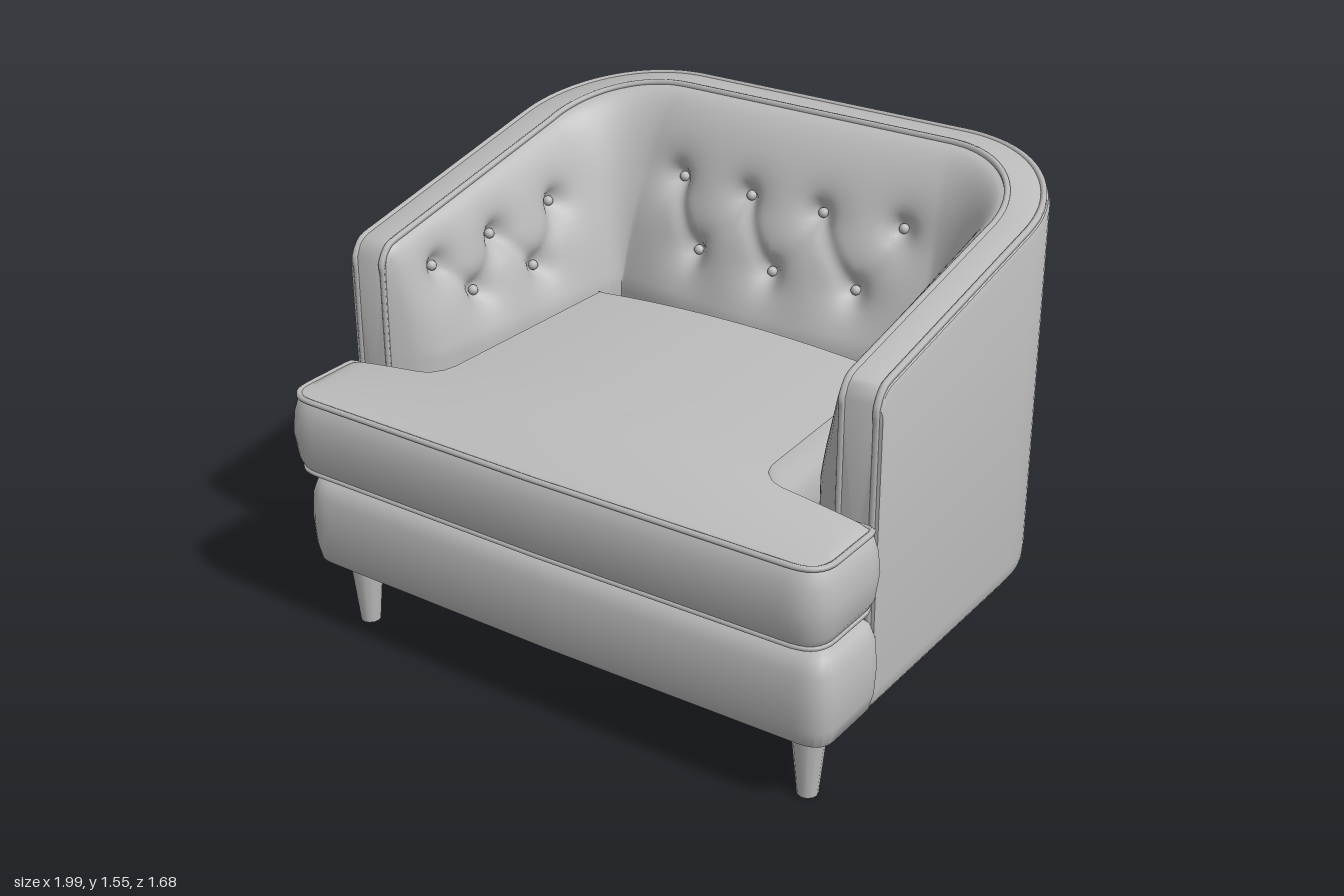
import * as THREE from 'three';
import { toCreasedNormals } from 'three/addons/utils/BufferGeometryUtils.js';

const V = (x, y, z) => new THREE.Vector3(x, y, z);
const { lerp, clamp } = THREE.MathUtils;
const STATIONS = 240;
const ARM = 0.45, CORNER = 0.62;   // where the arm and the corner end along half of the U

// Surface through rows of points
function grid(rows, crease = 0.7) {
  const n = rows[0].length, pos = [], idx = [];
  rows.forEach(r => r.forEach(p => pos.push(p.x, p.y, p.z)));
  for (let i = 0; i < rows.length - 1; i++) {
    for (let j = 0; j < n - 1; j++) {
      const a = i * n + j, b = a + 1, d = a + n, c = d + 1;
      idx.push(a, b, c, a, c, d);
    }
  }
  const g = new THREE.BufferGeometry();
  g.setAttribute('position', new THREE.Float32BufferAttribute(pos, 3));
  g.setIndex(idx);
  return toCreasedNormals(g, crease);
}

// U-shaped plan of the shell, u from 0 (left arm front) to 2 (right arm front), d inward
function plan(u, d) {
  const s = u <= 1 ? 1 : -1, v = u <= 1 ? u : 2 - u;
  const R = 0.46 - d, cx = 0.505, cz = -0.38;
  if (v < ARM) return V(s * (cx + R), 0, lerp(0.49, cz, v / ARM));
  if (v < CORNER) {
    const a = (v - ARM) / (CORNER - ARM) * Math.PI / 2;
    return V(s * (cx + R * Math.cos(a)), 0, cz - R * Math.sin(a));
  }
  return V(s * cx * (1 - (v - CORNER) / (1 - CORNER)), 0, cz - R);
}

// Sloping top edge, rounded at the arm fronts
function topY(u) {
  const z = plan(u, 0).z, f = clamp(z - 0.43, 0, 0.06);
  return 1.545 - 0.206 * (z + 0.84) - (0.06 - Math.sqrt(0.0036 - f * f)) * 0.8;
}

// Innermost line of the padding at seat level
function padLine(u) {
  const s = u <= 1 ? 1 : -1, v = u <= 1 ? u : 2 - u;
  if (v < ARM) {
    const k = v / ARM;
    return V(s * lerp(0.71, 0.605, k), 0, lerp(0.45, -0.4, k));
  }
  if (v < CORNER) {
    const k = (v - ARM) / (CORNER - ARM);
    return V(s * lerp(0.605, 0.585, k), 0, lerp(-0.4, -0.43, k));
  }
  const k = (v - CORNER) / (1 - CORNER);
  return V(s * 0.585 * (1 - k), 0, lerp(-0.43, -0.36, Math.sin(k * Math.PI / 2)));
}

// Smooth padding before tufting
function padPoint(u, y) {
  const v = Math.min(u, 2 - u), k = Math.min(1, v / 0.06);
  const end = Math.sqrt(1 - (1 - k) ** 2), top = topY(u) - 0.008;
  const w = Math.pow(clamp((top - y) / (top - 0.9), 0, 1), 0.55) * end;
  const p = plan(u, 0.135).lerp(padLine(u), w);
  p.y = y;
  return p;
}
const inward = u => padLine(u).sub(plan(u, 0.135)).setY(0).normalize();

const uAll = Array.from({ length: STATIONS + 1 }, (_, i) => 2 * i / STATIONS);

function wallGeometry() {
  const rows = uAll.map(u => {
    const t = topY(u);
    return [[0.14, 0.24], [0.14, t - 0.02], [0.125, t], [0.03, t], [0.006, t - 0.012], [0, t - 0.03],
      [0, 0.3], [0.003, 0.26], [0.015, 0.24], [0.14, 0.24]].map(([d, y]) => plan(u, d).setY(y));
  });
  const cap = s => new Array(10).fill(V(s * 0.895, 0.75, 0.495));
  return grid([cap(1), ...rows, cap(-1)]);
}

// Buttons as [u, y]
function buttonSpots() {
  const spots = [];
  const back = (x, y) => {
    const v = CORNER + (1 - CORNER) * (1 - Math.abs(x) / 0.585);
    spots.push([x >= 0 ? v : 2 - v, y]);
  };
  [-0.46, -0.15, 0.15, 0.46].forEach(x => back(x, 1.27));
  [-0.32, 0, 0.32].forEach(x => back(x, 1.06));
  const arm = (z, y) => {
    const v = ARM * (0.45 - z) / 0.85;
    spots.push([v, y], [2 - v, y]);
  };
  [-0.28, 0, 0.26].forEach(z => arm(z, 1.18 - 0.1 * z));
  [-0.14, 0.13].forEach(z => arm(z, 1.03));
  return spots;
}

function padGeometry(spots) {
  const centres = spots.map(([u, y]) => padPoint(u, y));
  const folds = [];
  centres.forEach((a, i) => centres.slice(i + 1).forEach(b => {
    if (a.distanceTo(b) < 0.36 && Math.abs(a.y - b.y) > 0.05) folds.push(new THREE.Line3(a, b));
  }));
  const q = V(0, 0, 0), M = 40;
  const rows = uAll.map(u => {
    const top = topY(u) - 0.008, dir = inward(u), row = [];
    for (let j = 0; j <= M; j++) {
      const p = padPoint(u, lerp(top, 0.58, Math.pow(1 - j / M, 1.4)));
      let dent = 0;
      centres.forEach(c => {
        const r = p.distanceTo(c);
        dent += 0.035 * Math.exp(-((r / 0.045) ** 2)) + 0.03 * Math.exp(-((r / 0.1) ** 2));
      });
      let fold = 0;
      folds.forEach(f => {
        const r = f.closestPointToPoint(p, true, q).distanceTo(p);
        fold = Math.max(fold, 0.014 * Math.exp(-((r / 0.03) ** 2)));
      });
      const room = p.distanceTo(plan(u, 0.135).setY(p.y));
      row.push(p.addScaledVector(dir, -Math.min(dent + fold, room * 0.8)));
    }
    return row;
  });
  return grid(rows, 0.9);
}

// T-shaped outline: wide front, narrow neck between the arms
function tOutline(X, zf, zs, neck, zb, r) {
  const s = new THREE.Shape();
  s.moveTo(0, zf).lineTo(X - r, zf - 0.01).quadraticCurveTo(X, zf - 0.01, X, zf - r);
  s.lineTo(X, zs + 0.05).quadraticCurveTo(X, zs, X - 0.05, zs);
  s.lineTo(neck + 0.06, zs).quadraticCurveTo(neck, zs, neck, zs - 0.06).lineTo(neck - 0.03, zb);
  s.lineTo(0, zb);
  const half = s.getSpacedPoints(110).slice(0, -1);
  const open = s.curves.length ? half.filter(p => p.x >= 0) : half;
  return [...open, ...open.slice(1).reverse().map(p => new THREE.Vector2(-p.x, p.y))]
    .map(p => V(p.x, 0, p.y));
}

function insetRing(outline, inset, y) {
  const n = outline.length;
  const ring = outline.map((p, i) => {
    const a = outline[(i + n - 1) % n], b = outline[(i + 1) % n];
    const nrm = V(a.z - b.z, 0, b.x - a.x).normalize();
    return p.clone().addScaledVector(nrm, -inset).setY(y);
  });
  ring.push(ring[0].clone());
  return ring;
}

// Closed cushion or slab from inset rings, with an optional crowned top
function slabGeometry(outline, rings, crown, zc) {
  const rows = rings.map(([d, y]) => insetRing(outline, d, y));
  const shrink = (row, k, f) => row.map(p => {
    const x = p.x * k, z = lerp(zc, p.z, k);
    return V(x, f ? f(x, z) : p.y, z);
  });
  const last = rows[rows.length - 1];
  const topRows = [0.97, 0.92, 0.85, 0.75, 0.6, 0.45, 0.3, 0.15, 0].map(k => shrink(last, k, crown));
  return grid([shrink(rows[0], 0), ...rows, ...topRows], 0.8);
}

const tube = (pts, closed, r, n) =>
  new THREE.TubeGeometry(new THREE.CatmullRomCurve3(pts, closed), n, r, 6, closed);

export function createModel() {
  const group = new THREE.Group();
  const leather = new THREE.MeshStandardMaterial({ color: 0xbcbcbc });
  leather.name = 'grey upholstery';
  const add = (name, geo, pos) => {
    const m = new THREE.Mesh(geo, leather);
    m.name = name;
    if (pos) m.position.copy(pos);
    group.add(m);
    return m;
  };

  // Curved shell and its tufted lining
  add('shell', wallGeometry());
  const spots = buttonSpots();
  add('tuftedPadding', padGeometry(spots));
  spots.forEach(([u, y]) => {
    const p = padPoint(u, y).addScaledVector(inward(u), -0.062);
    add('button', new THREE.SphereGeometry(0.017, 10, 8), p);
  });

  // Piping along the shell edges and down the arm fronts
  [[0.02, 0.26, 'outerPiping'], [0.13, 0.6, 'innerPiping']].forEach(([d, y0, name]) => {
    const run = uAll.filter((_, i) => i % 2 === 0).map(u => plan(u, d).setY(topY(u) - 0.003));
    const down = s => [0, 0.33, 0.66, 0.93].map(k => V(s * (0.965 - d), lerp(y0, topY(0), k), 0.487));
    add(name, tube([...down(1), ...run, ...down(-1).reverse()], false, 0.011, 300));
  });

  // Underside
  const floor = uAll.map(u => plan(u, 0.012));
  add('underside', slabGeometry(floor, [[0.01, 0.237], [0, 0.25]], null, 0));

  // Base with a rounded front rail
  add('base', slabGeometry(tOutline(0.982, 0.79, 0.46, 0.78, -0.6, 0.1),
    [[0.05, 0.235], [0.018, 0.255], [0.005, 0.31], [0, 0.4], [0.006, 0.49], [0.025, 0.54], [0.06, 0.562]],
    null, 0.55));

  // Crowned seat cushion with piping
  const seat = tOutline(0.995, 0.845, 0.49, 0.64, -0.33, 0.13);
  const crown = (x, z) =>
    0.862 + 0.088 * (1 - x * x) * Math.sin(clamp((0.81 - z) / 0.36, 0, 1) * Math.PI / 2);
  add('seatCushion', slabGeometry(seat,
    [[0.08, 0.57], [0.035, 0.595], [0.012, 0.64], [0, 0.73], [0.007, 0.8], [0.02, 0.84], [0.035, 0.862]],
    crown, 0.6));
  [[0.026, 0.858, 'cushionTopPiping'], [0.03, 0.605, 'cushionBottomPiping']].forEach(([d, y, name]) => {
    const front = insetRing(seat, d, y).slice(0, -1).filter(p => p.z > 0.47);
    const right = front.filter(p => p.x < 0), left = front.filter(p => p.x >= 0);
    add(name, tube([...right, ...left], false, 0.01, 160));
  });

  // Tapered legs
  for (const s of [1, -1]) {
    for (const [x, z, name] of [[0.85, 0.64, 'frontLeg'], [0.7, -0.64, 'backLeg']]) {
      add(name, new THREE.CylinderGeometry(0.057, 0.033, 0.25, 12), V(s * x, 0.125, z));
    }
  }
  return group;
}
